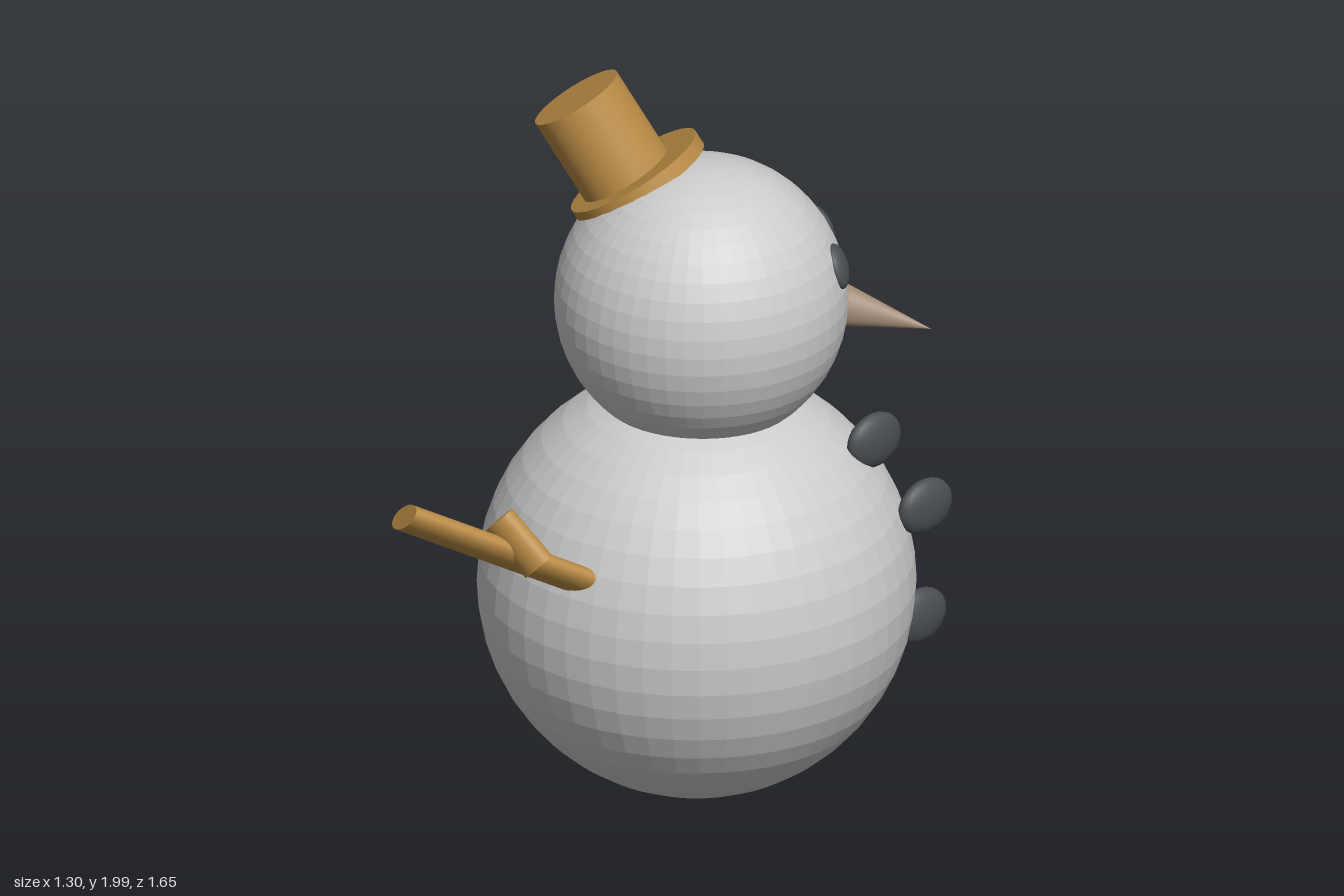
import * as THREE from 'three';

const snow = new THREE.MeshStandardMaterial({ color: 0xcccccc, flatShading: true });
const wood = new THREE.MeshStandardMaterial({ color: 0xb98b45 });
const coal = new THREE.MeshStandardMaterial({ color: 0x4a4e52 });
const carrot = new THREE.MeshStandardMaterial({ color: 0x9c8570 });

const vec = (p) => new THREE.Vector3(...p);

// Oval rod (or cone, when tip = 0) from a to b; wide is the direction of the larger radius
function rod(name, material, a, b, wide, rWide, rNarrow, tip = 1) {
  const start = vec(a), end = vec(b);
  const dir = end.clone().sub(start);
  const length = dir.length();
  dir.normalize();
  const x = vec(wide);
  x.addScaledVector(dir, -x.dot(dir)).normalize();
  const z = new THREE.Vector3().crossVectors(x, dir);
  const mesh = new THREE.Mesh(new THREE.CylinderGeometry(tip, 1, 1, 32), material);
  mesh.name = name;
  mesh.position.copy(start).lerp(end, 0.5);
  mesh.quaternion.setFromRotationMatrix(new THREE.Matrix4().makeBasis(x, dir, z));
  mesh.scale.set(rWide, length, rNarrow);
  return mesh;
}

function ball(name, material, center, radii, segments, rings) {
  const mesh = new THREE.Mesh(new THREE.SphereGeometry(1, segments, rings), material);
  mesh.name = name;
  mesh.position.set(...center);
  mesh.scale.set(...radii);
  return mesh;
}

export function createModel() {
  const model = new THREE.Group();
  model.name = 'snowman';

  // Snowballs
  const headCenter = [0.015, 1.405, 0.03];
  model.add(
    ball('body', snow, [0.005, 0.59, 0.04], [0.582, 0.582, 0.582], 48, 24),
    ball('head', snow, headCenter, [0.39, 0.39, 0.39], 48, 24)
  );

  // Tilted hat
  const hat = new THREE.Group();
  hat.name = 'hat';
  hat.add(
    rod('hatBrim', wood, [-0.16, 1.7, -0.017], [-0.182, 1.734, -0.017], [0, 0, 1], 0.195, 0.195),
    rod('hatCrown', wood, [-0.19, 1.7, -0.015], [-0.338, 1.93, -0.015], [0, 0, 1], 0.128, 0.128)
  );
  model.add(hat);

  // Flattened coal eyes facing out from the head
  for (const [name, p] of [['leftEye', [0.27, 1.52, -0.25]], ['rightEye', [0.38, 1.525, 0]]]) {
    const eye = ball(name, coal, p, [0.046, 0.062, 0.026], 24, 16);
    eye.lookAt(vec(p).multiplyScalar(2).sub(vec(headCenter)));
    eye.rotateZ(-0.35);
    model.add(eye);
  }

  // Carrot nose
  model.add(rod('nose', carrot, [0.34, 1.372, -0.1], [0.605, 1.315, -0.118], [0, 0.9, -0.4], 0.064, 0.04, 0));

  // Coal buttons down the front of the body
  [[0.465, 1.005, -0.053], [0.592, 0.805, -0.103], [0.582, 0.495, -0.08]].forEach((p, i) => {
    const button = ball('button' + (i + 1), coal, p, [0.036, 0.077, 0.092], 24, 16);
    button.rotation.y = -0.57;
    model.add(button);
  });

  // Stick arms, each with a short twig
  const rightArm = new THREE.Group();
  rightArm.name = 'rightArm';
  rightArm.add(
    rod('rightBranch', wood, [-0.16, 0.765, 0.51], [-0.605, 1.035, 0.785], [0.65, 0.54, 0.54], 0.063, 0.033),
    rod('rightTwig', wood, [-0.27, 0.87, 0.655], [-0.385, 0.985, 0.635], [0.9, 0.2, 0.35], 0.055, 0.037)
  );
  const leftArm = new THREE.Group();
  leftArm.name = 'leftArm';
  leftArm.add(
    rod('leftBranch', wood, [0.17, 0.765, -0.465], [-0.055, 1.085, -0.775], [0.62, -0.255, -0.73], 0.063, 0.038),
    rod('leftTwig', wood, [0.04, 0.86, -0.53], [0.068, 1.02, -0.57], [0.58, 0, -0.8], 0.062, 0.037)
  );
  model.add(rightArm, leftArm);

  return model;
}
